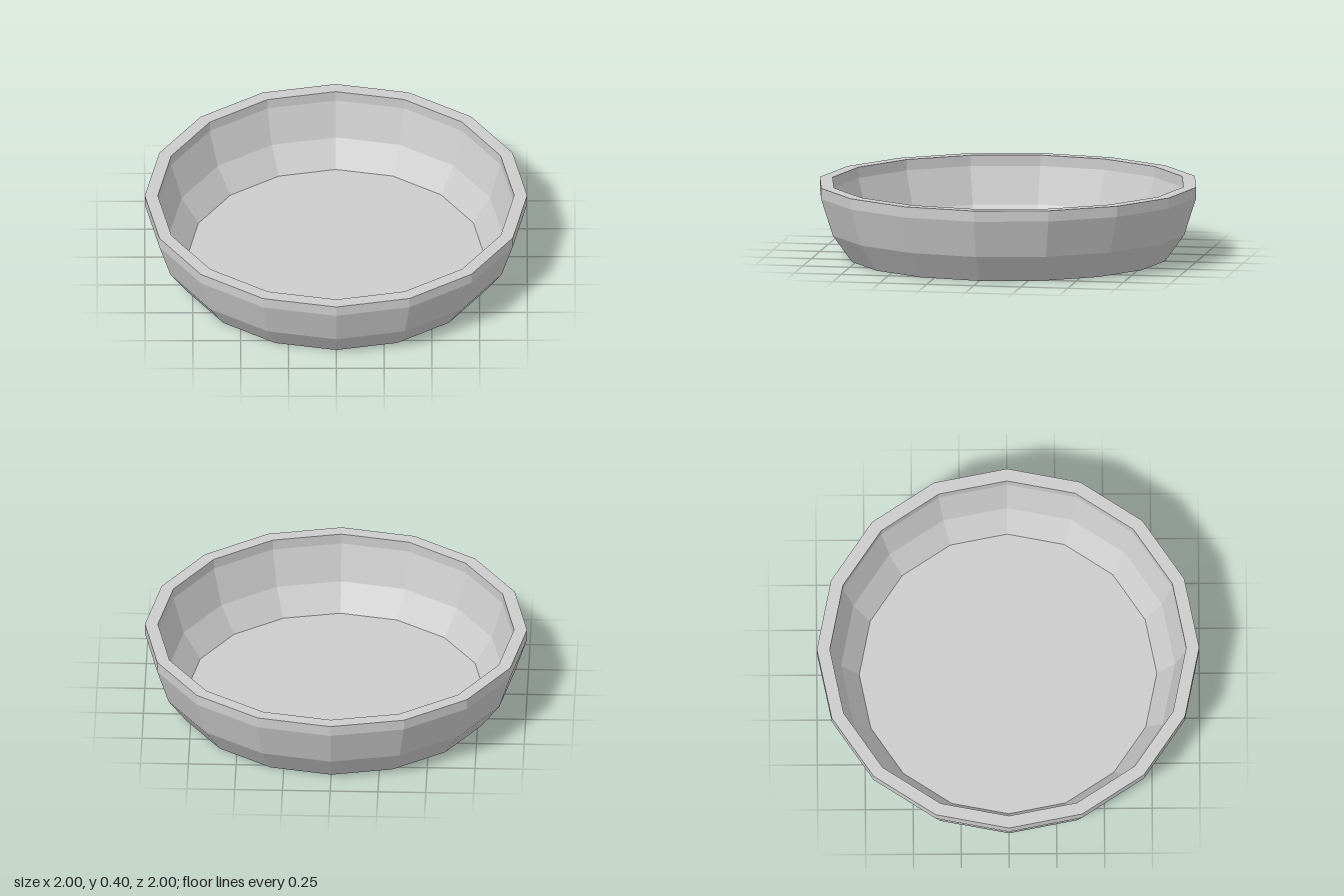
import * as THREE from 'three';

const SIDES = 16;

export function createModel() {
  const group = new THREE.Group();
  group.name = 'bowl';
  const material = new THREE.MeshStandardMaterial({ color: 0xcccccc, flatShading: true });

  // Outer wall rings from foot to rim: [radius, height]
  const rings = [[0.835, 0], [0.937, 0.142], [1, 0.338], [1, 0.395]];
  const wall = 0.932; // inner radius as a fraction of the outer
  const floorY = 0.004;

  const addPart = (name, points) => {
    const profile = points.map(([r, y]) => new THREE.Vector2(r, y));
    const mesh = new THREE.Mesh(new THREE.LatheGeometry(profile, SIDES), material);
    mesh.name = name;
    group.add(mesh);
  };

  const inner = rings.map(([r, y]) => [r * wall, Math.max(y, floorY)]).reverse();

  // Underside, faceted outside, flat rim
  addPart('outerShell', [[0, 0], ...rings, inner[0]]);
  // Faceted inside down to the thin floor
  addPart('innerShell', [...inner, [0, floorY]]);

  return group;
}
